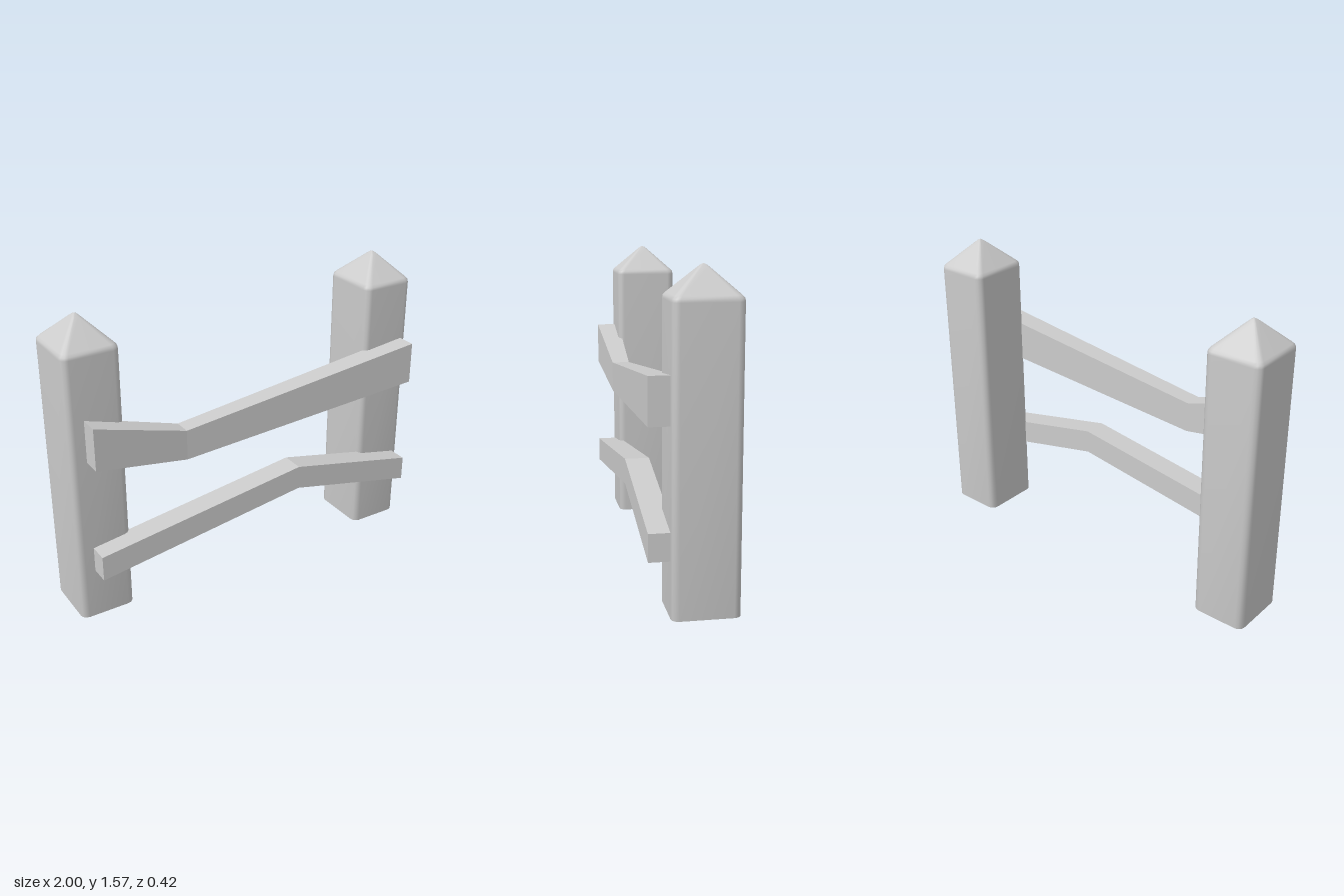
import * as THREE from 'three';

// Skin a list of equal-length rings, closing both ends with a centre point.
function loft(rings) {
  const n = rings[0].length, pos = [], idx = [];
  rings.forEach(r => r.forEach(p => pos.push(...p)));
  for (let i = 0; i < rings.length - 1; i++) {
    for (let j = 0; j < n; j++) {
      const a = i * n + j, b = i * n + (j + 1) % n;
      idx.push(a, b, b + n, a, b + n, a + n);
    }
  }
  [0, rings.length - 1].forEach((k, end) => {
    const c = pos.length / 3;
    pos.push(...[0, 1, 2].map(d => rings[k].reduce((s, p) => s + p[d], 0) / n));
    for (let j = 0; j < n; j++) {
      const a = k * n + j, b = k * n + (j + 1) % n;
      idx.push(...(end ? [a, b, c] : [b, a, c]));
    }
  });
  const g = new THREE.BufferGeometry();
  g.setAttribute('position', new THREE.Float32BufferAttribute(pos, 3));
  g.setIndex(idx);
  g.computeVertexNormals();
  return g;
}

// Horizontal rounded rectangle, counter-clockwise seen from above.
function postRing([y, hx, hz, r]) {
  const ring = [], steps = 3;
  [[1, 1], [1, -1], [-1, -1], [-1, 1]].forEach(([sx, sz], q) => {
    for (let k = 0; k <= steps; k++) {
      const a = Math.PI / 2 * (1 - q - k / steps);
      ring.push([sx * (hx - r) + r * Math.cos(a), y, sz * (hz - r) + r * Math.sin(a)]);
    }
  });
  return ring;
}

// Upright rectangle for a rail: x, bottom, top, back, front.
const railRing = ([x, y0, y1, z0, z1]) => [[x, y0, z0], [x, y1, z0], [x, y1, z1], [x, y0, z1]];

export function createModel() {
  const group = new THREE.Group();
  const smooth = new THREE.MeshStandardMaterial({ color: 0xcccccc });
  const flat = new THREE.MeshStandardMaterial({ color: 0xcccccc, flatShading: true });
  const add = (name, geometry, material) => {
    const mesh = new THREE.Mesh(geometry, material);
    mesh.name = name;
    group.add(mesh);
    return mesh;
  };

  // Posts with softened corners and pyramid tops: y, half width, half depth, corner radius
  const postGeometry = loft([
    [0, 0.143, 0.16, 0.035],
    [1.41, 0.145, 0.161, 0.035],
    [1.425, 0.143, 0.159, 0.035],
    [1.437, 0.133, 0.148, 0.03],
    [1.55, 0.022, 0.026, 0.012],
    [1.561, 0.01, 0.012, 0.006],
    [1.565, 0.003, 0.003, 0.002],
  ].map(postRing));
  for (const side of [-1, 1]) {
    add(side < 0 ? 'rightPost' : 'leftPost', postGeometry, smooth).position.set(side * 0.855, 0, -0.05);
  }

  // Bent rails fixed to the front of the posts
  add('upperRail', loft([
    [-0.915, 0.88, 1.1, 0.088, 0.21],
    [-0.42, 0.787, 0.945, 0.095, 0.186],
    [0.957, 0.877, 1.1, 0.088, 0.21],
  ].map(railRing)), flat);
  add('lowerRail', loft([
    [-0.915, 0.268, 0.4, 0.088, 0.21],
    [0.235, 0.43, 0.558, 0.088, 0.21],
    [0.957, 0.268, 0.4, 0.088, 0.21],
  ].map(railRing)), flat);

  return group;
}
